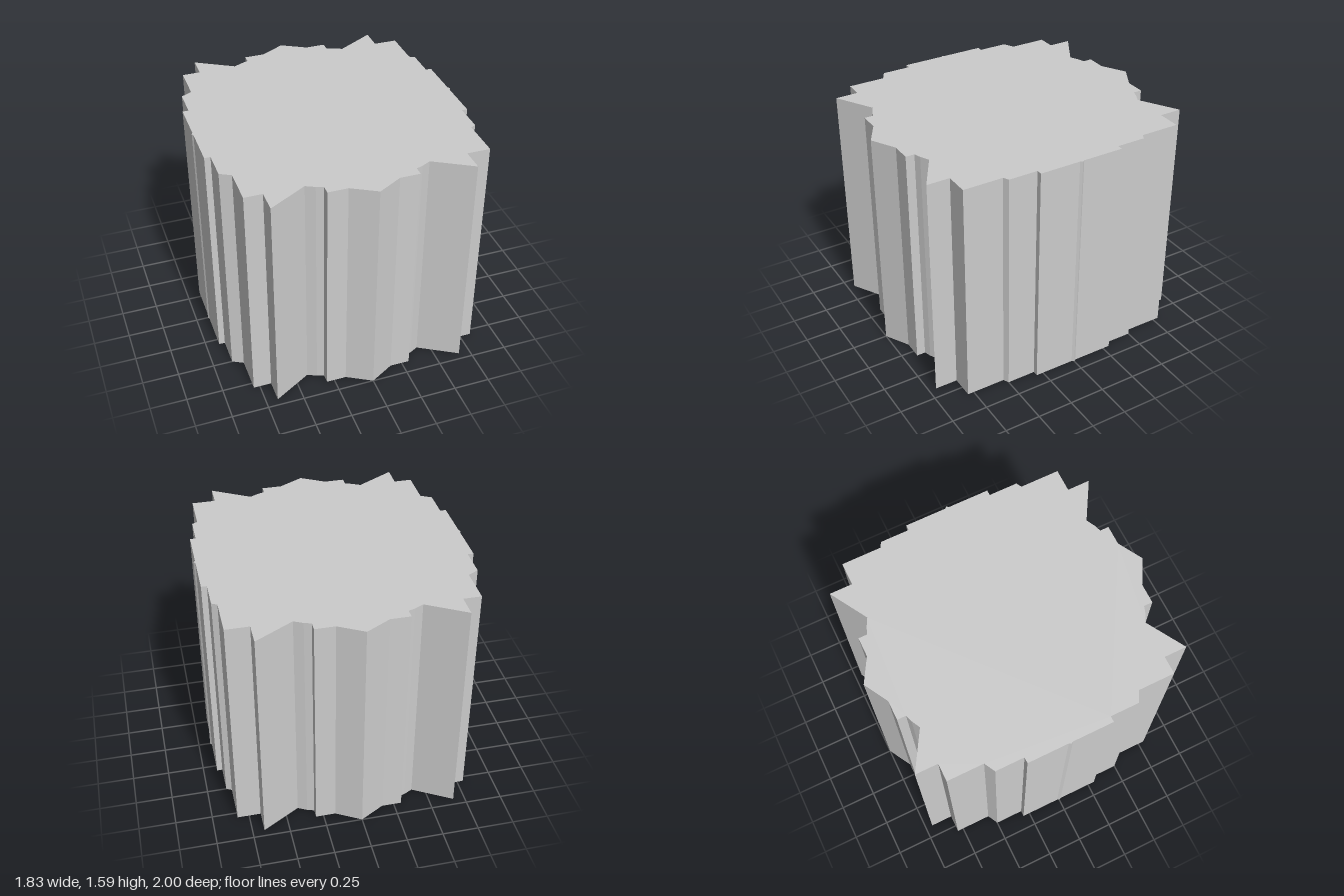
import * as THREE from 'three';

const HEIGHT = 1.59;

// Teeth along the front edge, from the middle tip outwards (|x|, z)
const teeth = [[0.167, 0.905], [0.303, 0.905], [0.303, 0.844], [0.35, 0.828], [0.41, 0.797], [0.67, 0.95], [0.67, 0.793]];

// Stepped sides, from the corner to the small rib at z = 0 (|x|, z)
const leftSide = [[0.83, 0.793], [0.83, 0.52], [0.867, 0.5], [0.867, 0.3], [0.905, 0.3], [0.905, 0.015], [0.916, 0]];
const rightSide = [[0.793, 0.793], [0.793, 0.54], [0.867, 0.5], [0.867, 0.3], [0.908, 0.3], [0.908, 0.015], [0.916, 0]];

// Front half of the outline, from the left rib over the middle tip to the right rib
function frontOutline() {
  const left = [...teeth, ...leftSide];
  const right = [...teeth, ...rightSide].map(([x, z]) => [-x, z]);
  return [...left.reverse(), [0, 1], ...right];
}

export function createModel() {
  const group = new THREE.Group();
  group.name = 'toothedBlock';

  // Mirror the front half to the back, leaving out the two shared rib points
  const front = frontOutline();
  const back = front.slice(1, -1).reverse().map(([x, z]) => [x, -z]);
  const outline = new THREE.Shape([...front, ...back].map(([x, z]) => new THREE.Vector2(x, z)));

  // Straight prism standing on the ground
  const geometry = new THREE.ExtrudeGeometry(outline, { depth: HEIGHT, bevelEnabled: false });
  geometry.rotateX(-Math.PI / 2);

  const material = new THREE.MeshStandardMaterial({ color: 0xcccccc, flatShading: true });
  const block = new THREE.Mesh(geometry, material);
  block.name = 'block';
  group.add(block);
  return group;
}
